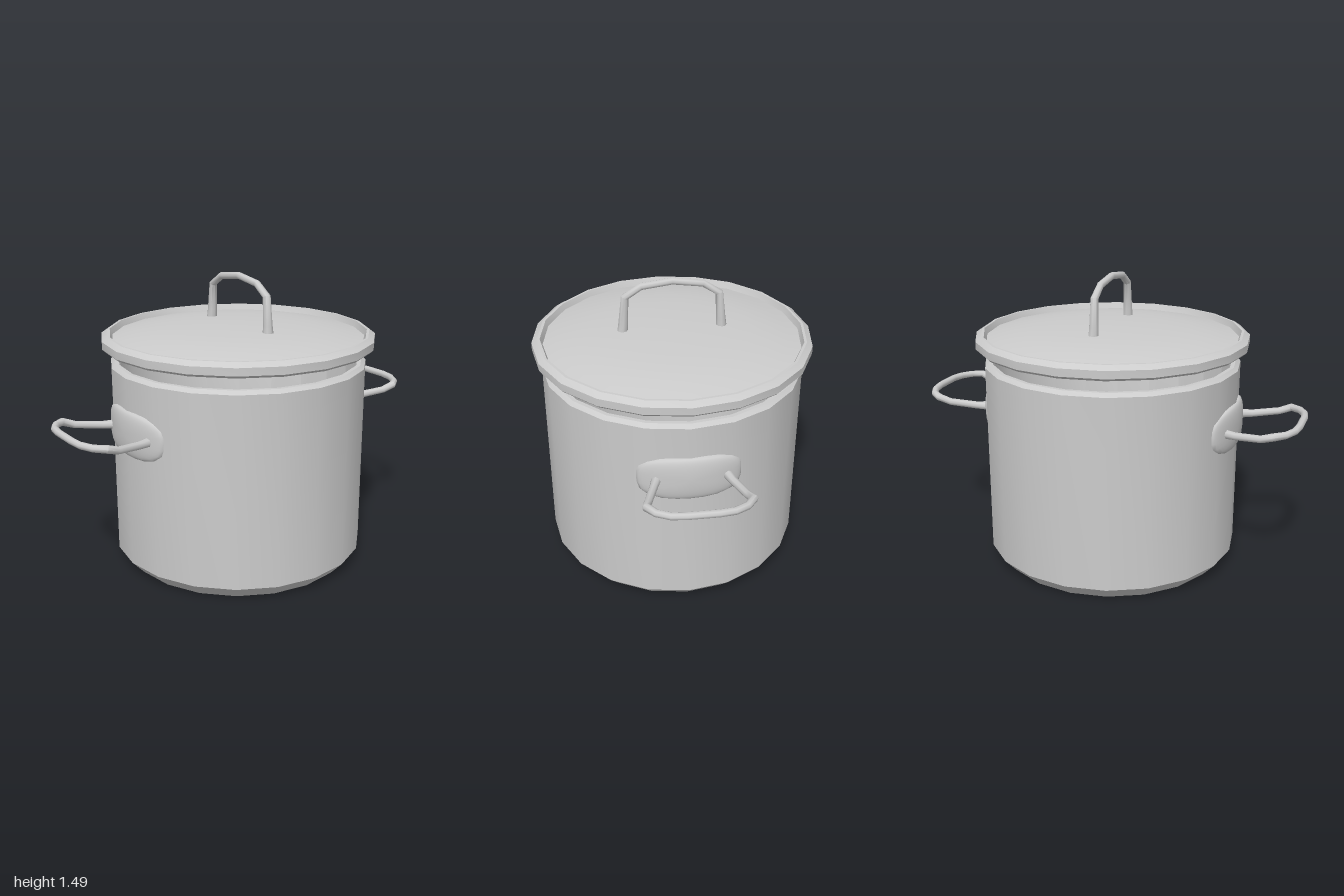
import * as THREE from 'three';
import { toCreasedNormals, mergeVertices } from 'three/addons/utils/BufferGeometryUtils.js';

const SIDES = 20, WALL = 0.655;
const material = new THREE.MeshStandardMaterial({ color: 0xcccccc });

function mesh(name, geometry) {
  const m = new THREE.Mesh(geometry, material);
  m.name = name;
  return m;
}

// Turned part with smooth walls and sharp chamfers
function turned(name, profile) {
  const points = profile.map(([r, y]) => new THREE.Vector2(r, y));
  return mesh(name, toCreasedNormals(new THREE.LatheGeometry(points, SIDES), 0.5));
}

// Path with straight pieces, one step per corner
class Polyline extends THREE.Curve {
  constructor(points) {
    super();
    this.points = points;
  }
  getUtoTmapping(u) { return u; }
  getPoint(t, target = new THREE.Vector3()) {
    const n = this.points.length - 1;
    const s = THREE.MathUtils.clamp(t, 0, 1) * n;
    const i = Math.min(Math.floor(s), n - 1);
    return target.lerpVectors(this.points[i], this.points[i + 1], s - i);
  }
}

// Bent rod mirrored in z; each half point is [x, y, z, radius], the last lies at z = 0
function bentRod(name, half) {
  const all = [...half, ...half.slice(0, -1).reverse().map(([x, y, z, r]) => [x, y, -z, r])];
  const points = all.map(([x, y, z]) => new THREE.Vector3(x, y, z));
  const radial = 8;
  const geo = new THREE.TubeGeometry(new Polyline(points), points.length - 1, 1, radial);
  const pos = geo.attributes.position, v = new THREE.Vector3();
  for (let i = 0; i < pos.count; i++) {
    const k = Math.floor(i / (radial + 1));
    v.fromBufferAttribute(pos, i).sub(points[k]).multiplyScalar(all[k][3]).add(points[k]);
    pos.setXYZ(i, v.x, v.y, v.z);
  }
  return mesh(name, toCreasedNormals(geo, 0.9));
}

// Rounded mounting plate wrapped around the pot wall
function mountingPlate() {
  const geo = new THREE.SphereGeometry(1, 24, 10, 0, Math.PI * 2, 0, Math.PI / 2);
  const pos = geo.attributes.position;
  for (let i = 0; i < pos.count; i++) {
    const a = pos.getX(i), h = Math.max(pos.getY(i), 0), b = pos.getZ(i);
    // Superellipse outline; the pole stays in the middle
    const norm = (Math.abs(a) ** 3.2 + Math.abs(b) ** 3.2) ** (1 / 3.2);
    const k = norm > 1e-6 ? Math.hypot(a, b) / norm : 1;
    const z = 0.25 * a * k, y = 0.77 + 0.115 * b * k;
    pos.setXYZ(i, Math.sqrt(WALL * WALL - z * z) - 0.015 + 0.04 * Math.sqrt(h), y, z);
  }
  geo.deleteAttribute('uv');
  geo.deleteAttribute('normal');
  const merged = mergeVertices(geo, 1e-4);
  merged.computeVertexNormals();
  return mesh('handlePlate', merged);
}

function sideHandle(name) {
  const group = new THREE.Group();
  group.name = name;
  const grip = bentRod('handleGrip', [
    [0.635, 0.77, 0.165, 0.024],
    [0.70, 0.772, 0.185, 0.02],
    [0.83, 0.788, 0.225, 0.019],
    [0.89, 0.81, 0.238, 0.02],
    [0.94, 0.813, 0.20, 0.018],
    [0.972, 0.816, 0.14, 0.018],
    [0.983, 0.819, 0.07, 0.018],
    [0.983, 0.819, 0, 0.018],
  ]);
  grip.position.z = -0.008;
  group.add(grip, mountingPlate());
  return group;
}

export function createModel() {
  const model = new THREE.Group();
  model.name = 'cookingPot';

  // Hollow body with chamfered foot and rim
  model.add(turned('potBody', [
    [0, 0], [0.59, 0], [WALL, 0.07], [WALL, 1.043], [0.635, 1.06],
    [0.615, 1.06], [0.605, 1.04], [0.605, 0.07], [0, 0.07],
  ]));

  // Raised lid: chamfered rim around a shallow dome
  const lid = new THREE.Group();
  lid.name = 'lid';
  lid.add(turned('lidRim', [
    [0, 1.13], [0.685, 1.13], [0.697, 1.142], [0.697, 1.18],
    [0.668, 1.2], [0.655, 1.2], [0.642, 1.168],
  ]));
  lid.add(turned('lidDome', [
    [0.65, 1.168], [0.58, 1.184], [0.5, 1.2], [0.4, 1.214],
    [0.28, 1.223], [0.14, 1.229], [0, 1.231],
  ]));
  const lidHandle = bentRod('lidHandle', [
    [0, 1.215, 0.247, 0.027],
    [0, 1.26, 0.243, 0.024],
    [0, 1.40, 0.232, 0.02],
    [0, 1.452, 0.152, 0.018],
    [0, 1.472, 0, 0.018],
  ]);
  lidHandle.position.x = 0.005;
  lid.add(lidHandle);
  model.add(lid);

  // Matching handles on both sides
  const left = sideHandle('leftHandle');
  const right = sideHandle('rightHandle');
  right.rotation.y = Math.PI;
  model.add(left, right);

  return model;
}
